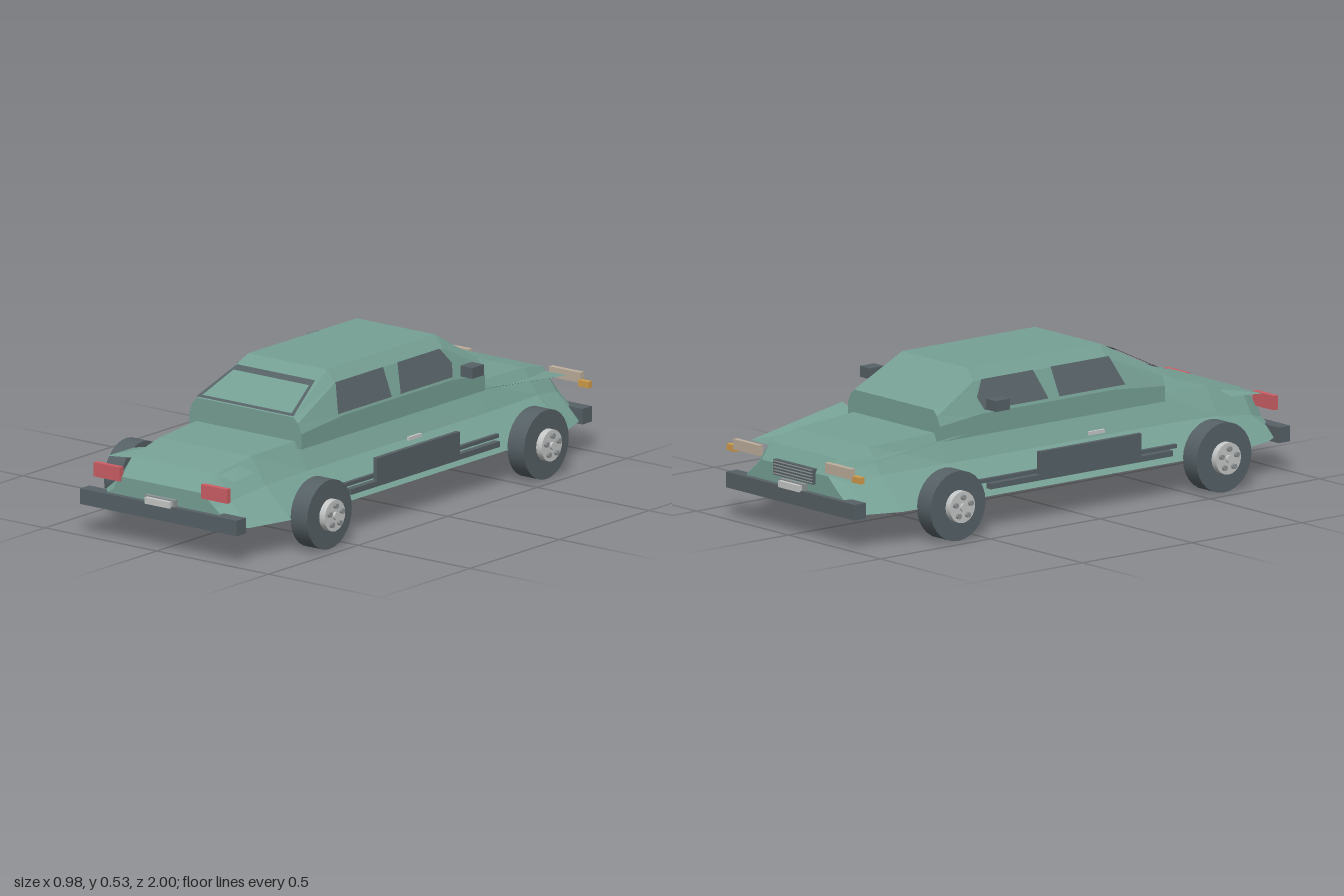
import * as THREE from 'three';

const mat = (name, color, side = THREE.FrontSide) => {
  const m = new THREE.MeshStandardMaterial({ color, side });
  m.name = name;
  return m;
};

// Flat-shaded geometry from triangles of [x, y, z] points
function fromTriangles(tris) {
  const g = new THREE.BufferGeometry();
  g.setAttribute('position', new THREE.Float32BufferAttribute(tris.flat(2), 3));
  g.computeVertexNormals();
  return g;
}

// Skin through sections [z, ...half-ring points [x, y] from bottom to top], mirrored in x
function loft(sections) {
  const rings = sections.map(([z, ...half]) => [
    ...half.map(([x, y]) => [x, y, z]),
    ...half.slice().reverse().map(([x, y]) => [-x, y, z]),
  ]);
  const tris = [], n = rings[0].length, last = rings[rings.length - 1];
  for (let i = 0; i < rings.length - 1; i++) {
    for (let j = 0; j < n; j++) {
      const k = (j + 1) % n;
      const a = rings[i][j], b = rings[i][k], c = rings[i + 1][k], d = rings[i + 1][j];
      tris.push([a, b, c], [a, c, d]);
    }
  }
  for (let j = 1; j < n - 1; j++) {
    tris.push([last[0], last[j], last[j + 1]]);
    tris.push([rings[0][0], rings[0][j + 1], rings[0][j]]);
  }
  return fromTriangles(tris);
}

// Thin sheet from a convex outline
function sheet(points) {
  const tris = [];
  for (let i = 1; i < points.length - 1; i++) tris.push([points[0], points[i], points[i + 1]]);
  return fromTriangles(tris);
}

export function createModel() {
  const car = new THREE.Group();
  car.name = 'car';
  const PAINT = 0x76a094;
  const paint = mat('green paint', PAINT, THREE.DoubleSide);
  const dark = mat('dark trim', 0x566166, THREE.DoubleSide);
  const red = mat('red lamp', 0xcc5f65);
  const cream = mat('headlamp cream', 0xbcae9b);
  const amber = mat('amber lamp', 0xd09c4c);
  const metal = mat('light metal', 0xc6c8c8);
  const grey = mat('mid grey', 0x8d9294);

  const add = (name, geometry, material, parent = car) => {
    const m = new THREE.Mesh(geometry, material);
    m.name = name;
    parent.add(m);
    return m;
  };
  // Box given by its limits on each axis
  const box = (name, [x0, x1], [y0, y1], [z0, z1], material) => {
    const m = add(name, new THREE.BoxGeometry(x1 - x0, y1 - y0, z1 - z0), material);
    m.position.set((x0 + x1) / 2, (y0 + y1) / 2, (z0 + z1) / 2);
    return m;
  };
  const pair = (name, [x0, x1], ys, zs, material) => {
    box(name + 'Left', [x0, x1], ys, zs, material);
    box(name + 'Right', [-x1, -x0], ys, zs, material);
  };

  // Lower body: wide floor, sloping flanks, narrow deck
  add('body', loft([
    [-0.97, [0.31, 0.13], [0.22, 0.2], [0.18, 0.235]],
    [-0.93, [0.34, 0.12], [0.24, 0.215], [0.18, 0.295]],
    [-0.8, [0.385, 0.12], [0.26, 0.23], [0.2, 0.32]],
    [-0.5, [0.385, 0.12], [0.27, 0.23], [0.22, 0.335]],
    [0.5, [0.385, 0.12], [0.27, 0.23], [0.22, 0.33]],
    [0.73, [0.385, 0.12], [0.27, 0.225], [0.205, 0.32]],
    [0.9, [0.34, 0.12], [0.25, 0.2], [0.19, 0.29]],
    [0.97, [0.31, 0.13], [0.22, 0.18], [0.18, 0.232]],
  ]), paint);

  // Cabin with sloping screens at both ends
  const end = [[0.25, 0.305], [0.25, 0.36], [0.235, 0.395], [0.215, 0.415]];
  const mid = [[0.25, 0.305], [0.25, 0.38], [0.21, 0.49], [0.175, 0.533]];
  add('cabin', loft([[-0.52, ...end], [-0.335, ...mid], [0.27, ...mid], [0.505, ...end]]), paint);

  // Side parts in sheet form
  for (const s of [1, -1]) {
    const side = s > 0 ? 'Left' : 'Right';
    const flip = (pts) => pts.map(([x, y, z]) => [x * s, y, z]);
    add('hoodWing' + side, sheet(flip([
      [0.2, 0.3, -0.47], [0.34, 0.343, -0.47], [0.29, 0.28, -0.93], [0.18, 0.28, -0.93]])), paint);
    add('rearWing' + side, sheet(flip([
      [0.2, 0.3, 0.79], [0.27, 0.285, 0.79], [0.285, 0.28, 0.92], [0.185, 0.285, 0.9]])), paint);
    // Side windows lie on the slanted cabin flank
    const pane = (pts) => sheet(pts.map(([z, y]) => [s * (0.262 - (y - 0.395) * 0.43), y, z]));
    add('rearWindow' + side, pane([[0.315, 0.395], [0.275, 0.495], [0.01, 0.495], [0.015, 0.395]]), dark);
    add('frontWindow' + side, pane(
      [[-0.035, 0.395], [-0.07, 0.495], [-0.305, 0.495], [-0.345, 0.44], [-0.325, 0.395]]), dark);
  }

  // Frame strips on the sloping screen, drawn along (x, y)
  const onScreen = ([x, y]) => [x, y + 0.004, 0.51 - (y - 0.415) * 1.99];
  const strip = (name, pts) => add(name, sheet(pts.map(onScreen)), dark);
  strip('screenFrameTop', [[-0.175, 0.503], [0.175, 0.503], [0.18, 0.49], [-0.18, 0.49]]);
  strip('screenFrameBottom', [[-0.215, 0.422], [0.215, 0.422], [0.217, 0.416], [-0.217, 0.416]]);
  for (const s of [1, -1]) {
    strip('screenFrameSide', [[s * 0.175, 0.503], [s * 0.217, 0.416], [s * 0.202, 0.416], [s * 0.163, 0.503]]);
  }

  // Bumpers and plates
  for (const s of [1, -1]) {
    const z = (a, b) => (s > 0 ? [a, b] : [-b, -a]);
    const at = s > 0 ? 'rear' : 'front';
    box(at + 'Bumper', [-0.35, 0.35], [0.11, 0.166], z(0.94, 0.992), dark);
    box(at + 'PlateHolder', [-0.068, 0.068], [0.165, 0.19], z(0.965, 0.985), grey);
    box(at + 'Plate', [-0.056, 0.056], [0.162, 0.185], z(0.985, 1), metal);
  }

  // Lamps, mirrors, handles, sills
  pair('tailLamp', [0.182, 0.298], [0.216, 0.267], [0.96, 0.98], red);
  pair('headLamp', [0.18, 0.32], [0.25, 0.287], [-0.985, -0.965], cream);
  pair('turnLamp', [0.316, 0.363], [0.239, 0.262], [-0.977, -0.957], amber);
  pair('mirror', [0.316, 0.37], [0.412, 0.451], [-0.365, -0.3], dark);
  pair('doorHandle', [0.398, 0.408], [0.278, 0.291], [0.03, 0.1], metal);
  pair('sill', [0.378, 0.402], [0.148, 0.168], [-0.415, 0.415], dark);
  pair('sidePanel', [0.385, 0.402], [0.15, 0.25], [-0.19, 0.272], dark);
  pair('flankTrim', [0.326, 0.345], [0.158, 0.172], [-0.48, 0.48], dark);

  // Grille with raised bars
  box('grille', [-0.11, 0.11], [0.195, 0.25], [-0.978, -0.96], dark);
  for (let i = 0; i < 5; i++) {
    const y = 0.2 + i * 0.011;
    box('grilleBar', [-0.105, 0.105], [y, y + 0.003], [-0.983, -0.978], grey);
  }

  // Wheels with hubs and bolts
  const disc = (r, x0, x1, n) =>
    new THREE.CylinderGeometry(r, r, x1 - x0, n).rotateZ(-Math.PI / 2).translate((x0 + x1) / 2, 0, 0);
  for (const s of [1, -1]) for (const z of [0.603, -0.608]) {
    const wheel = new THREE.Group();
    wheel.name = (z > 0 ? 'rear' : 'front') + 'Wheel' + (s > 0 ? 'Left' : 'Right');
    wheel.position.set(0, 0.125, z);
    if (s < 0) wheel.rotation.y = Math.PI;
    add('tyre', disc(0.125, 0.38, 0.454, 28), dark, wheel);
    add('hub', disc(0.057, 0.454, 0.479, 20), metal, wheel);
    add('hubCap', disc(0.014, 0.479, 0.488, 10), metal, wheel);
    for (let i = 0; i < 5; i++) {
      const a = (i / 5) * Math.PI * 2 + Math.PI / 2;
      const y = Math.sin(a) * 0.036, w = Math.cos(a) * 0.036;
      add('bolt', disc(0.01, 0.479, 0.489, 8).translate(0, y, w), grey, wheel);
    }
    car.add(wheel);
  }
  return car;
}
